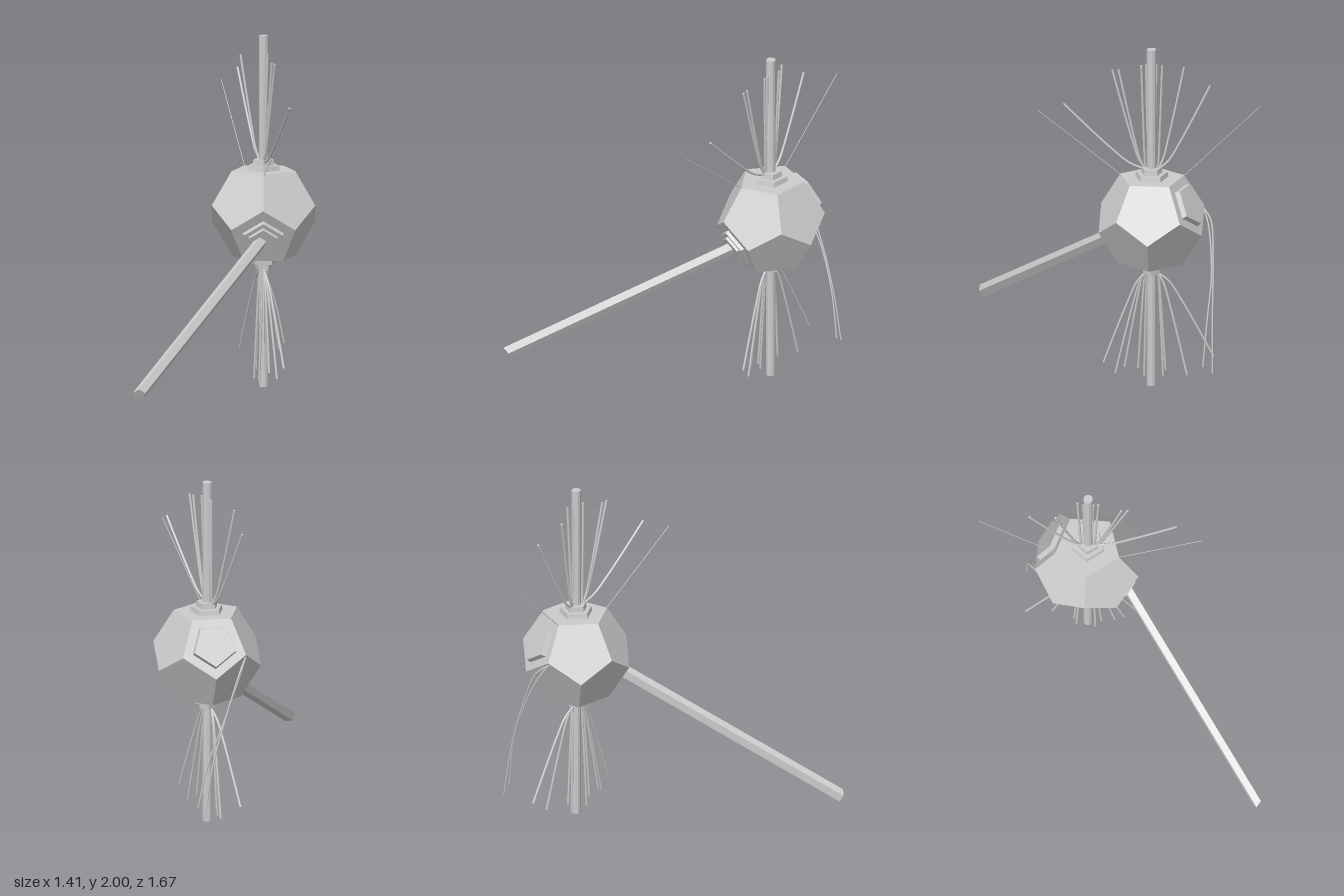
import * as THREE from 'three';

const C = new THREE.Vector3(0.395, 0.987, -0.2225); // body centre
const IN_R = 0.248; // centre to face
const TILT = Math.atan(0.5); // elevation of the side faces
const V = (x, y, z) => new THREE.Vector3(x, y, z);

const flat = new THREE.MeshStandardMaterial({ color: 0xcccccc, flatShading: true });
const smooth = new THREE.MeshStandardMaterial({ color: 0xcccccc });

function add(parent, name, geometry, material = flat) {
  const mesh = new THREE.Mesh(geometry, material);
  mesh.name = name;
  parent.add(mesh);
  return mesh;
}

// Frame of a body face: n points outward, u points to one pentagon corner
function sideFace(azimuthDeg, lower) {
  const a = THREE.MathUtils.degToRad(azimuthDeg);
  const e = lower ? -TILT : TILT;
  const h = V(Math.cos(a), 0, Math.sin(a));
  const n = h.clone().multiplyScalar(Math.cos(e)).setY(Math.sin(e));
  const u = h.clone().multiplyScalar(-Math.sin(e)).setY(Math.cos(e));
  if (!lower) u.negate();
  return { n, u };
}

// Pentagonal prism standing on a face; along may lean away from the face normal
function facePrism({ n, u }, radiusTop, radiusBase, along, origin) {
  const geometry = new THREE.CylinderGeometry(radiusTop, radiusBase, 1, 5).translate(0, 0.5, 0);
  const x = new THREE.Vector3().crossVectors(n, u);
  geometry.applyMatrix4(new THREE.Matrix4().makeBasis(x, along, u).setPosition(origin));
  geometry.computeVertexNormals();
  return geometry;
}

// Stack of [radius, height] steps on a face
function steppedMount(parent, name, face, steps) {
  const group = new THREE.Group();
  group.name = name;
  const origin = C.clone().addScaledVector(face.n, IN_R);
  for (const [r, h] of steps) {
    add(group, 'mountStep', facePrism(face, r * 0.94, r, face.n.clone().multiplyScalar(h), origin));
    origin.addScaledVector(face.n, h);
  }
  parent.add(group);
}

function strand(parent, name, points, radius) {
  const curve = new THREE.CatmullRomCurve3(points);
  // closed ends
  add(parent, name, new THREE.TubeGeometry(curve, 20, radius, 6), smooth);
  for (const [t, s] of [[0, -1], [1, 1]]) {
    const cap = add(parent, name + 'End', new THREE.CircleGeometry(radius, 6), flat);
    cap.position.copy(curve.getPoint(t));
    cap.lookAt(cap.position.clone().addScaledVector(curve.getTangent(t), s));
  }
}

export function createModel() {
  const model = new THREE.Group();
  model.name = 'probe';

  // Twelve-sided body resting with a flat face up
  const body = new THREE.DodecahedronGeometry(IN_R / 0.79465);
  body.rotateX(-Math.PI / 2).rotateZ(Math.atan(2 / (1 + Math.sqrt(5)))).rotateY(Math.PI);
  add(model, 'body', body).position.copy(C);

  // Stepped mounts on the top, bottom and arm faces, raised panel at the back
  const armFace = sideFace(108, true);
  steppedMount(model, 'topMount', { n: V(0, 1, 0), u: V(-1, 0, 0) }, [[0.098, 0.028], [0.064, 0.032]]);
  steppedMount(model, 'bottomMount', { n: V(0, -1, 0), u: V(1, 0, 0) }, [[0.084, 0.037], [0.05, 0.035]]);
  steppedMount(model, 'armMount', armFace, [[0.122, 0.02], [0.088, 0.015]]);
  steppedMount(model, 'backPanel', sideFace(-72, false), [[0.13, 0.028]]);

  // Long arm, its end cut parallel to the face it leaves
  const armStart = C.clone().addScaledVector(armFace.n, IN_R);
  const armEnd = V(-0.673, 0.16, 0.819);
  add(model, 'arm', facePrism(armFace, 0.038, 0.038, armEnd.sub(armStart), armStart));

  // Upper and lower masts
  for (const [name, y0, y1] of [['upperMast', 1.23, 2], ['lowerMast', 0, 0.74]]) {
    const mast = add(model, name, new THREE.CylinderGeometry(0.027, 0.027, y1 - y0, 10));
    mast.position.set(C.x, (y0 + y1) / 2, C.z);
  }

  // Tendrils spread from the mast feet; each tip is [x, y, z]
  const tendrils = (name, rootY, tips) => {
    for (const [x, y, z] of tips) {
      const dz = z - C.z, dy = y - rootY;
      const rootZ = C.z + Math.sign(dz) * Math.min(0.035, Math.abs(dz) * 0.6);
      const at = (f, g) => V(THREE.MathUtils.lerp(C.x - 0.01, x, f), rootY + dy * g,
        THREE.MathUtils.lerp(rootZ, z, f));
      strand(model, name, [at(0, 0), at(0.2, 0.1), at(0.42, 0.32), at(0.7, 0.64), at(1, 1)], 0.007);
    }
  };
  tendrils('upperTendril', 1.28, [
    [0.39, 1.66, 0.275], [0.39, 1.87, 0], [0.385, 1.87, -0.035], [0.4, 1.905, -0.165],
    [0.395, 1.905, -0.192], [0.39, 1.905, -0.25], [0.4, 1.905, -0.283],
    [0.315, 1.87, -0.4], [0.345, 1.775, -0.55],
  ]);
  tendrils('lowerTendril', 0.665, [
    [0.43, 0.14, 0.045], [0.41, 0.07, -0.02], [0.37, 0.09, -0.145], [0.355, 0.04, -0.178],
    [0.36, 0.04, -0.285], [0.375, 0.085, -0.3], [0.415, 0.07, -0.425], [0.365, 0.17, -0.57],
    [0.38, 0.1, -0.07],
  ]);

  // Two trailing cables hanging from the back corner
  strand(model, 'backCable', [V(0.3, 1.03, -0.508), V(0.355, 0.98, -0.555), V(0.45, 0.75, -0.575),
    V(0.545, 0.45, -0.578), V(0.6, 0.15, -0.583)], 0.005);
  strand(model, 'backCable', [V(0.3, 1.03, -0.508), V(0.35, 0.95, -0.54), V(0.465, 0.7, -0.567),
    V(0.56, 0.45, -0.55), V(0.615, 0.19, -0.53)], 0.005);

  // Thin straight antennas on two upper corners
  const antennas = [[V(0.34, 1.23, -0.045), V(0.34, 1.6, 0.425)],
    [V(0.34, 1.23, -0.4), V(0.34, 1.66, -0.835)]];
  for (const [a, b] of antennas) {
    add(model, 'antenna', new THREE.TubeGeometry(new THREE.LineCurve3(a, b), 1, 0.002, 5));
  }
  return model;
}
